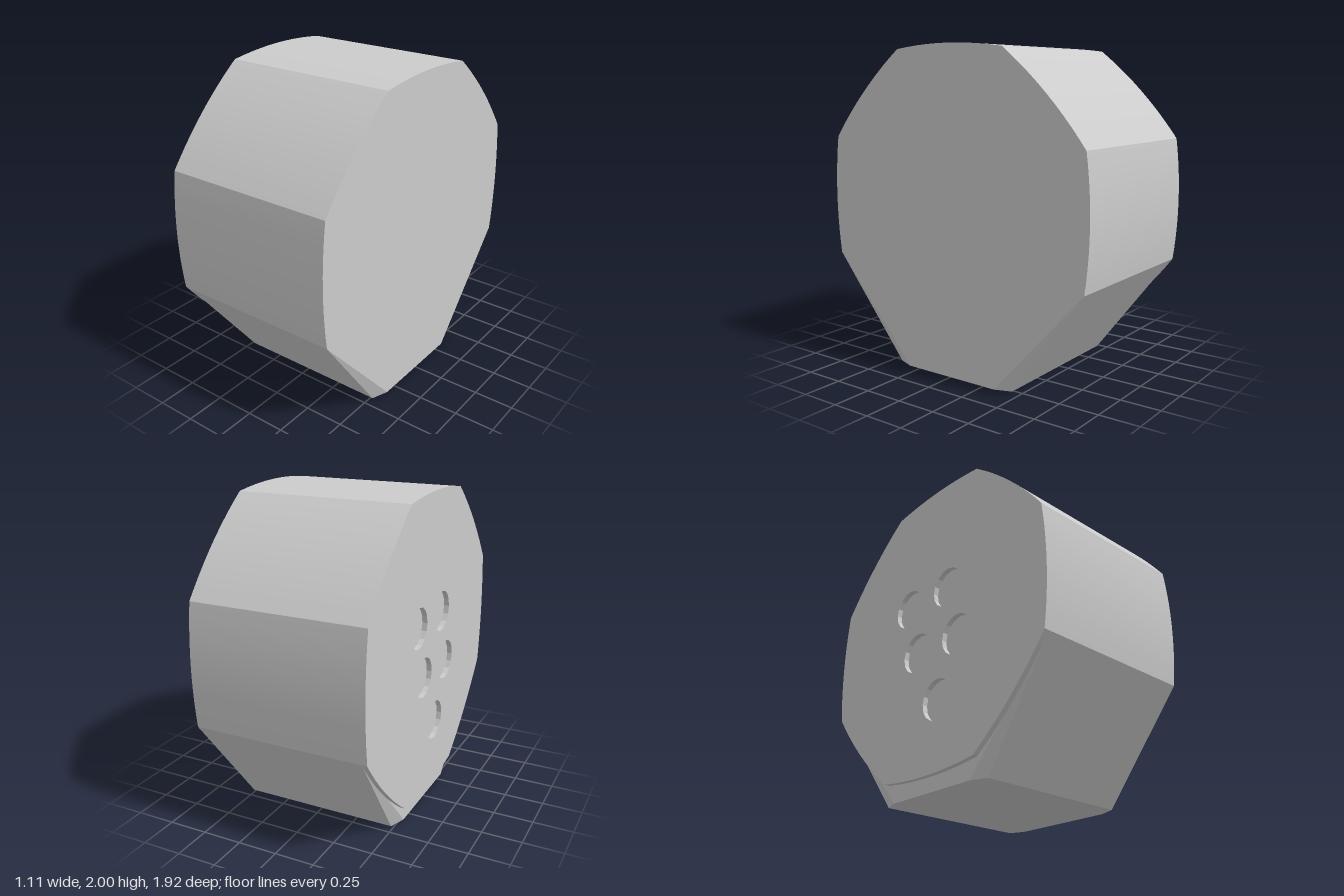
import * as THREE from 'three';
import { ConvexGeometry } from 'three/addons/geometries/ConvexGeometry.js';
import { toCreasedNormals } from 'three/addons/utils/BufferGeometryUtils.js';

const CENTRE_Y = 1.045;
const BULGE = 0.028;
const RIGHT_END = 0.5525;
const LEFT_SEAT = -0.52; // plane where the cover plate meets the body

// Octagon corners as (z, y), counter-clockwise from the lower front corner
const corners = [
  [0.93, -0.385], [0.93, 0.385], [0.39, 0.927], [-0.39, 0.927],
  [-0.93, 0.385], [-0.93, -0.385], [-0.39, -0.927], [0.39, -0.927],
].map(([z, y]) => new THREE.Vector2(z, y + CENTRE_Y));

// Follows the bowed octagon sides from the first corner, without the last point
function bowedSides(count, segments = 10) {
  const points = [];
  for (let i = 0; i < count; i++) {
    const a = corners[i], b = corners[(i + 1) % 8];
    const mid = a.clone().add(b).multiplyScalar(0.5);
    const out = new THREE.Vector2(b.y - a.y, a.x - b.x).normalize();
    const side = new THREE.QuadraticBezierCurve(a, mid.addScaledVector(out, 2 * BULGE), b);
    points.push(...side.getPoints(segments).slice(0, -1));
  }
  return points;
}

export function createModel() {
  const group = new THREE.Group();
  const material = new THREE.MeshStandardMaterial({ color: 0xcccccc });
  const add = (name, geometry) => {
    const mesh = new THREE.Mesh(toCreasedNormals(geometry, 0.2), material);
    mesh.name = name;
    group.add(mesh);
  };

  // Body: bowed upper sides, flat tapering foot with its four corners cut off
  const points = [];
  const outline = [...bowedSides(5), corners[5]];
  for (const x of [LEFT_SEAT, RIGHT_END]) {
    for (const p of outline) points.push(new THREE.Vector3(x, p.y, p.x));
    for (const s of [-1, 1]) {
      points.push(new THREE.Vector3(x, 0, s * 0.33));
      points.push(new THREE.Vector3(x - Math.sign(x) * 0.038, 0, s * 0.435));
    }
  }
  add('body', new ConvexGeometry(points));

  // Cover plate: full bowed octagon with five round holes
  const plate = new THREE.Shape(bowedSides(8));
  const holes = [[-0.235, 1.225], [0.135, 1.235], [-0.135, 0.885], [0.23, 0.885], [0.07, 0.525]];
  for (const [z, y] of holes) {
    plate.holes.push(new THREE.Path().absarc(z, y, 0.127, 0, Math.PI * 2, true));
  }
  const plateGeometry = new THREE.ExtrudeGeometry(plate, {
    depth: RIGHT_END + LEFT_SEAT, bevelEnabled: false, curveSegments: 8,
  });
  plateGeometry.rotateY(-Math.PI / 2).translate(LEFT_SEAT, 0, 0);
  add('coverPlate', plateGeometry);

  return group;
}
